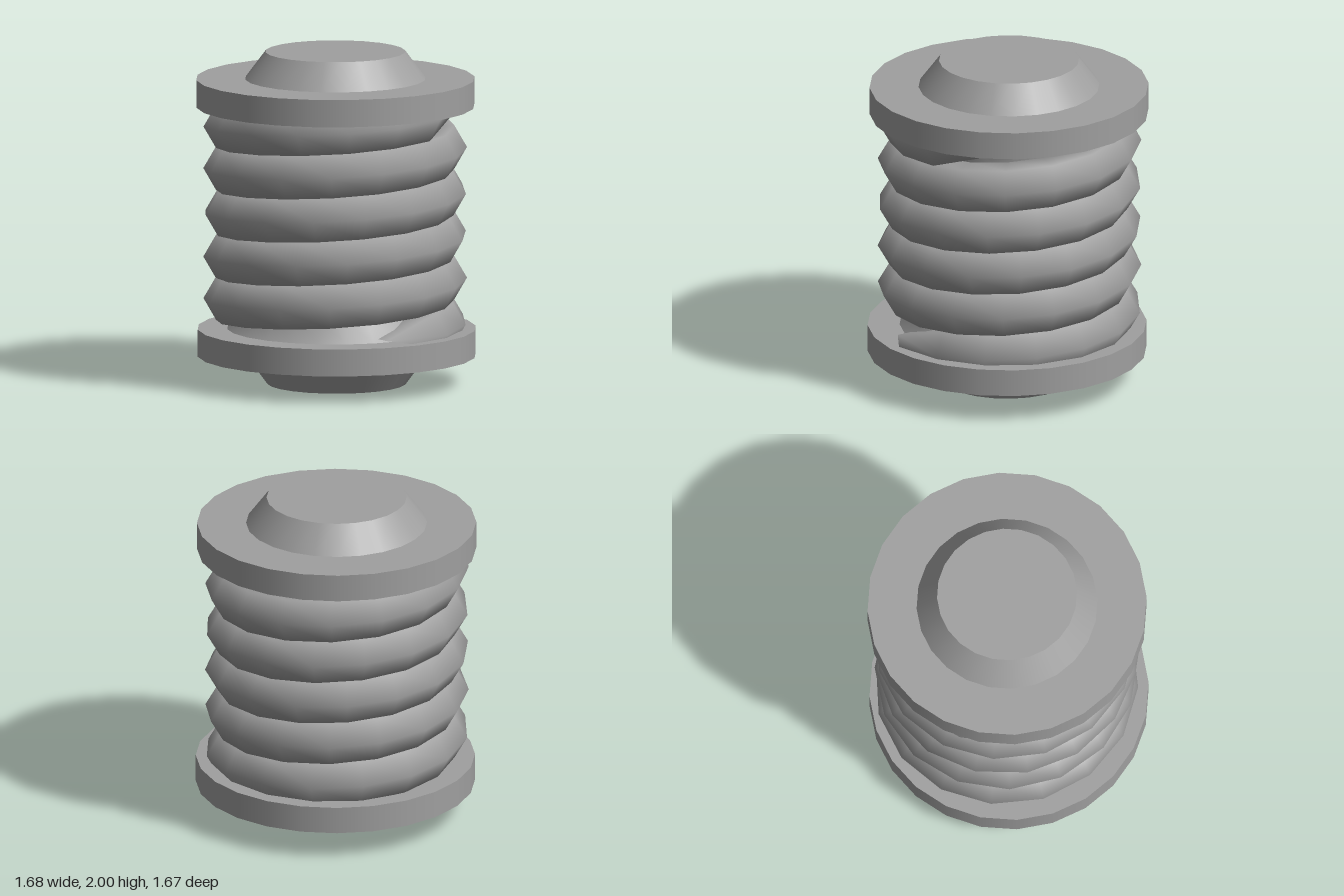
import * as THREE from 'three';

const material = new THREE.MeshStandardMaterial({ color: 0x9f9f9f });

const SIDES = 24;
const PITCH = 0.262; // rise per turn of the coil
const SWEEP = THREE.MathUtils.degToRad(1840); // five turns and a bit
const SEGMENTS = 80;
const END_TILT = THREE.MathUtils.degToRad(81); // the two end rings lie almost flat
const COIL_RADIUS = 0.637;
const WIRE_RADIUS = 0.15;
const WIRE_SIDES = 6;

// Corner j of the hexagonal wire ring number i
function ringPoint(i, j) {
  const turn = (SWEEP * i) / SEGMENTS;
  const tilt = i === 0 || i === SEGMENTS ? END_TILT : 0;
  const corner = (j / WIRE_SIDES) * Math.PI * 2;
  const r = COIL_RADIUS + WIRE_RADIUS * Math.cos(corner);
  const up = WIRE_RADIUS * Math.sin(corner);
  const back = up * Math.sin(tilt);
  return [
    r * Math.cos(turn) + back * Math.sin(turn),
    0.333 + (PITCH * turn) / (Math.PI * 2) + up * Math.cos(tilt),
    -r * Math.sin(turn) + back * Math.cos(turn),
  ];
}

function coilGeometry() {
  const positions = [];
  const index = [];
  const n = WIRE_SIDES;
  const addRing = (i) => {
    for (let j = 0; j < n; j++) positions.push(...ringPoint(i, j));
  };
  for (let i = 0; i <= SEGMENTS; i++) addRing(i);
  for (let i = 0; i < SEGMENTS; i++) {
    for (let j = 0; j < n; j++) {
      const a = i * n + j;
      const c = i * n + ((j + 1) % n);
      index.push(a, a + n, c, c, a + n, c + n);
    }
  }
  // Flat end caps with their own vertices
  for (const i of [0, SEGMENTS]) {
    const base = positions.length / 3;
    addRing(i);
    for (let j = 1; j < n - 1; j++) {
      if (i === 0) index.push(base, base + j, base + j + 1);
      else index.push(base, base + j + 1, base + j);
    }
  }
  const geometry = new THREE.BufferGeometry();
  geometry.setAttribute('position', new THREE.Float32BufferAttribute(positions, 3));
  geometry.setIndex(index);
  geometry.computeVertexNormals();
  return geometry;
}

export function createModel() {
  const group = new THREE.Group();

  function add(name, geometry, x = 0, y = 0) {
    const mesh = new THREE.Mesh(geometry, material);
    mesh.name = name;
    mesh.position.set(x, y, 0);
    group.add(mesh);
  }

  // Solid round part spanning y0 to y1
  function disc(name, rBottom, rTop, y0, y1, x) {
    add(name, new THREE.CylinderGeometry(rTop, rBottom, y1 - y0, SIDES), x, (y0 + y1) / 2);
  }

  // End flanges and their tapered bosses
  disc('bottomBoss', 0.415, 0.54, 0, 0.17, 0.005);
  disc('bottomFlange', 0.833, 0.833, 0.17, 0.333, 0.005);
  disc('topFlange', 0.833, 0.833, 1.672, 1.837, -0.009);
  disc('topBoss', 0.54, 0.418, 1.837, 2, -0.009);

  // Core inside the coil, flaring where it meets the flanges
  const profile = [[0.65, 0.333], [0.535, 0.46], [0.5, 0.6], [0.48, 1.5], [0.54, 1.672]]
    .map(([r, y]) => new THREE.Vector2(r, y));
  add('core', new THREE.LatheGeometry(profile, SIDES), -0.005);

  // Helical coil
  add('coil', coilGeometry(), -0.012);

  return group;
}
